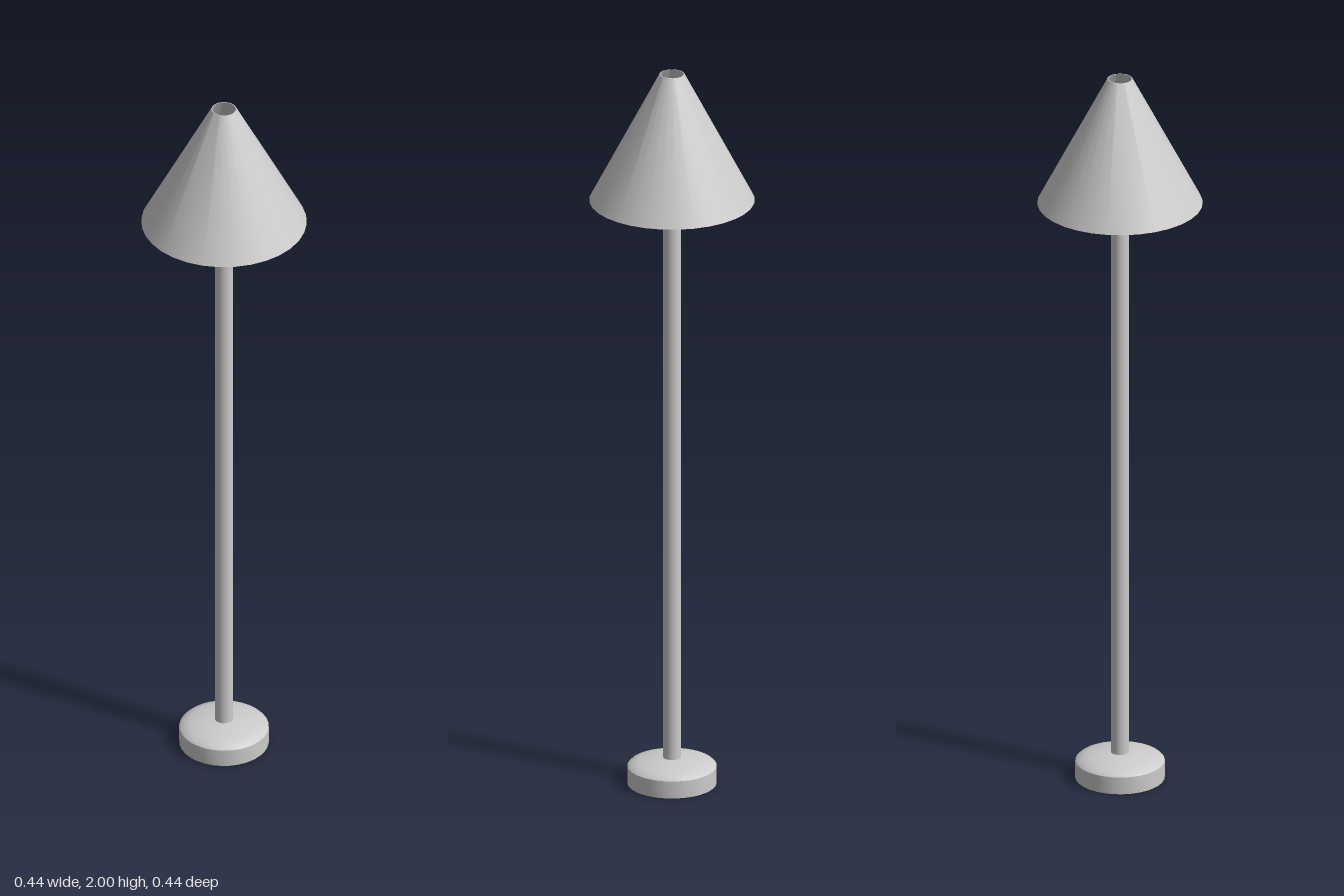
import * as THREE from 'three';
import { toCreasedNormals } from 'three/addons/utils/BufferGeometryUtils.js';

const material = new THREE.MeshStandardMaterial({ color: 0xcccccc });
const shadeMaterial = new THREE.MeshStandardMaterial({ color: 0xcccccc, side: THREE.DoubleSide });

function part(group, name, geometry, mat = material) {
  const mesh = new THREE.Mesh(geometry, mat);
  mesh.name = name;
  group.add(mesh);
  return mesh;
}

function lathe(points, sides) {
  const profile = points.map(([r, y]) => new THREE.Vector2(r, y));
  return toCreasedNormals(new THREE.LatheGeometry(profile, sides), 0.6);
}

export function createModel() {
  const lamp = new THREE.Group();
  lamp.name = 'floorLamp';

  // Round foot: flat underside, upright rim, shallow domed top
  part(lamp, 'base', lathe([
    [0, 0], [0.118, 0], [0.118, 0.048], [0.112, 0.054], [0.09, 0.062],
    [0.06, 0.068], [0.03, 0.072], [0, 0.073],
  ], 32));

  // Straight pole running up into the shade
  const poleTop = 1.93;
  const pole = part(lamp, 'pole', new THREE.CylinderGeometry(0.024, 0.024, poleTop - 0.06, 24));
  pole.position.y = (poleTop + 0.06) / 2;

  // Thin conical shade, open at both ends
  part(lamp, 'shade', lathe([
    [0.215, 1.645], [0.218, 1.645], [0.033, 2], [0.031, 2], [0.215, 1.645],
  ], 32), shadeMaterial);

  // Small finial and three-armed holder inside the top opening
  const holder = new THREE.Group();
  holder.name = 'shadeHolder';
  holder.position.y = 1.95;
  lamp.add(holder);

  part(holder, 'finial', new THREE.SphereGeometry(0.015, 20, 12));
  const ring = part(holder, 'holderRing', new THREE.TorusGeometry(0.027, 0.0015, 8, 32));
  ring.rotation.x = Math.PI / 2;

  for (let i = 0; i < 3; i++) {
    const pivot = new THREE.Group();
    pivot.name = 'holderArm';
    pivot.rotation.y = Math.PI + i * Math.PI * 2 / 3;
    holder.add(pivot);
    const arm = part(pivot, 'armRod', new THREE.CylinderGeometry(0.001, 0.001, 0.02, 8));
    arm.rotation.z = Math.PI / 2;
    arm.position.x = 0.018;
  }

  return lamp;
}
